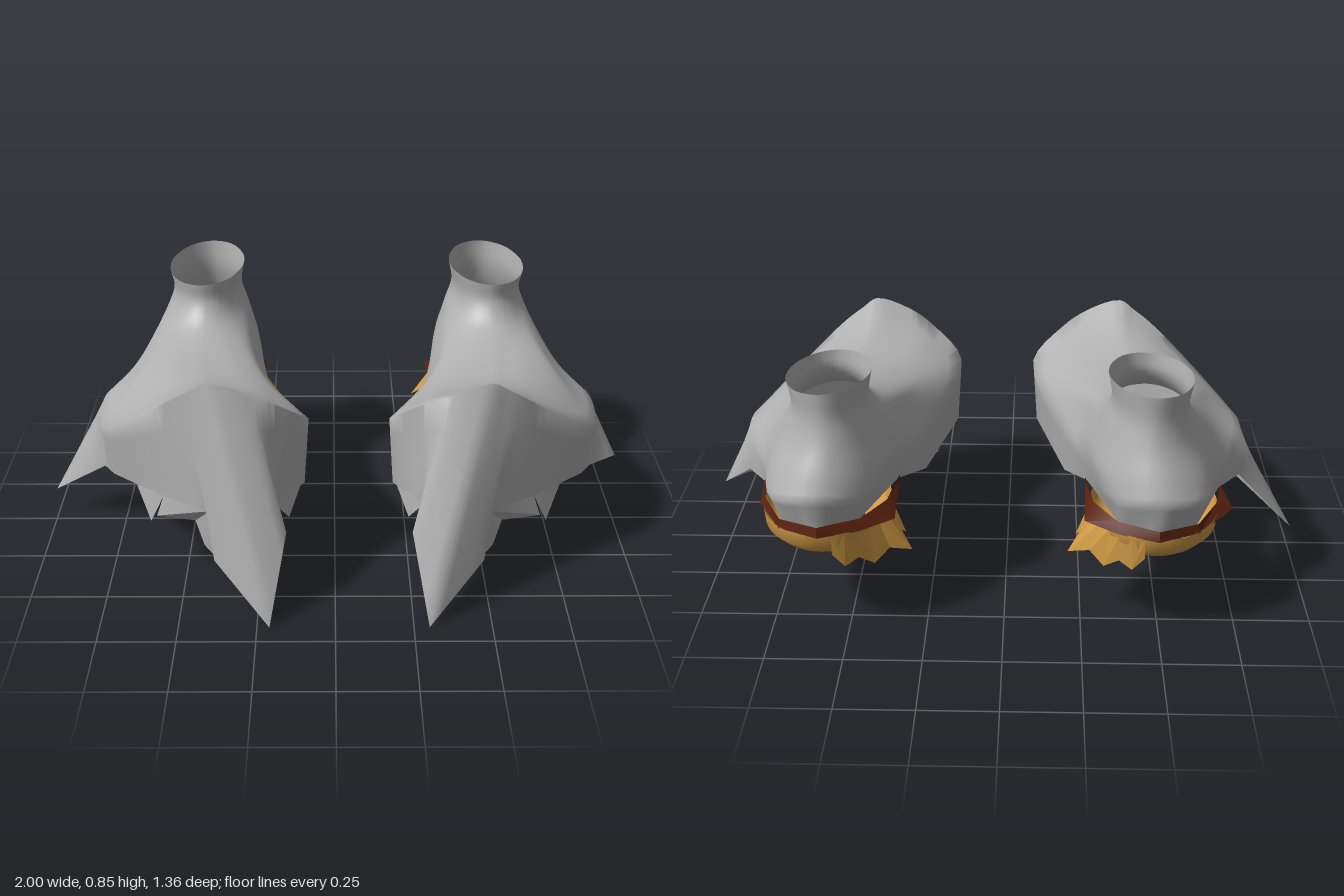
import * as THREE from 'three';
import { toCreasedNormals } from 'three/addons/utils/BufferGeometryUtils.js';

const mat = (name, color) => {
  const m = new THREE.MeshStandardMaterial({ color, side: THREE.DoubleSide });
  m.name = name;
  return m;
};
const V = (x, y, z) => new THREE.Vector3(x, y, z);
const points = (list) => list.map((p) => V(...p));

// Skin through rows of points; columns run anticlockwise seen from above, rows run downward
function skin(rows, crease, mirrored) {
  const n = rows[0].length, pos = [], idx = [];
  for (const row of rows) for (const p of row) pos.push(mirrored ? 0.09 - p.x : p.x, p.y, p.z);
  for (let i = 0; i < rows.length - 1; i++) {
    for (let j = 0; j < n - 1; j++) {
      const a = i * n + j, b = a + 1, c = a + n, d = c + 1;
      if (mirrored) idx.push(a, b, c, b, d, c);
      else idx.push(a, c, b, b, c, d);
    }
  }
  const g = new THREE.BufferGeometry();
  g.setAttribute('position', new THREE.Float32BufferAttribute(pos, 3));
  g.setIndex(idx);
  g.computeVertexNormals();
  return toCreasedNormals(g, crease);
}

// Fan of triangles from a tip to a chain of base points
const fan = (tip, chain, mirrored) => skin([chain.map(() => tip), chain], 0.6, mirrored);

const ellipse = (x, y, z, rx, rz, angles, pitch = 0, roll = 0) => angles.map((deg) => {
  const a = THREE.MathUtils.degToRad(deg);
  return V(x + rx * Math.sin(a), y - pitch * Math.cos(a) + roll * Math.sin(a), z + rz * Math.cos(a));
});
const around = Array.from({ length: 41 }, (_, i) => i * 9);

// Column order: toe, inner side, heel, outer side, back to toe
const columnAngles = [0, 18, 32, 47, 75, 105, 145, 180, 215, 250, 264, 278, 292, 306, 322, 337, 349];
const instepRing = points([
  [-0.41, 0.64, 0.2], [-0.31, 0.625, 0.18], [-0.27, 0.61, 0.13], [-0.24, 0.59, 0.06],
  [-0.26, 0.56, -0.1], [-0.27, 0.55, -0.35], [-0.33, 0.57, -0.57], [-0.47, 0.6, -0.65],
  [-0.61, 0.57, -0.57], [-0.66, 0.55, -0.38], [-0.68, 0.55, -0.25], [-0.69, 0.555, -0.12],
  [-0.68, 0.57, -0.03], [-0.66, 0.59, 0.05], [-0.54, 0.625, 0.15], [-0.48, 0.635, 0.18],
  [-0.44, 0.64, 0.19]]);
const peakRing = points([
  [-0.4, 0.75, 0.45], [-0.28, 0.71, 0.45], [-0.19, 0.66, 0.41], [-0.085, 0.565, 0.32],
  [-0.19, 0.46, 0], [-0.265, 0.47, -0.3], [-0.35, 0.5, -0.61], [-0.48, 0.53, -0.68],
  [-0.62, 0.5, -0.61], [-0.69, 0.47, -0.35], [-0.75, 0.46, -0.19], [-0.79, 0.475, -0.07],
  [-0.8, 0.47, 0.04], [-0.78, 0.46, 0.17], [-0.62, 0.59, 0.34], [-0.51, 0.68, 0.41],
  [-0.45, 0.72, 0.435]]);
const rimRing = (finTip) => points([
  [-0.21, 0, 0.675], [-0.155, 0.28, 0.555], [-0.19, 0.32, 0.455], [-0.1, 0.33, 0.32],
  [-0.2, 0.27, 0.03], [-0.27, 0.38, -0.25], [-0.36, 0.41, -0.58], [-0.48, 0.42, -0.66],
  [-0.6, 0.41, -0.59], [-0.7, 0.385, -0.3], [-0.79, 0.345, -0.13], finTip, [-0.8, 0.25, 0.06],
  [-0.75, 0.285, 0.18], [-0.57, 0.31, 0.37], [-0.41, 0.32, 0.49], [-0.39, 0.16, 0.53]]);

// Smooth from collar to peak, then straight down to an angular rim drawn out into a toe point and a side fin
function shellGeometry(finTip, mirrored) {
  const curves = [
    ellipse(-0.455, 0.832, -0.395, 0.132, 0.197, columnAngles, 0.011, 0.007),
    ellipse(-0.455, 0.755, -0.395, 0.12, 0.195, columnAngles),
    ellipse(-0.455, 0.68, -0.37, 0.145, 0.24, columnAngles),
    instepRing, peakRing].map((r) => new THREE.CatmullRomCurve3(r, true));
  const rim = rimRing(finTip), n = rim.length, steps = n * 4;
  const rows = Array.from({ length: 21 }, () => []);
  for (let j = 0; j <= steps; j++) {
    const k = j % steps, seg = Math.floor(k / 4);
    const col = curves.map((c) => c.getPoint(k / steps));
    const low = rim[seg].clone().lerp(rim[(seg + 1) % n], (k % 4) / 4);
    const fall = new THREE.CatmullRomCurve3(col);
    for (let i = 0; i <= 16; i++) rows[i].push(fall.getPoint(i / 16));
    for (let i = 1; i <= 4; i++) rows[16 + i].push(col[4].clone().lerp(low, i / 4));
  }
  return skin(rows, 1.45, mirrored);
}

// Arched sole from stations: z, inner x, outer x, edge height
const soleStations = [
  [0.42, -0.24, -0.46, 0.335], [0.3, -0.15, -0.6, 0.315], [0.15, -0.18, -0.73, 0.3],
  [-0.05, -0.25, -0.73, 0.31], [-0.19, -0.29, -0.68, 0.355]];
const soleRows = soleStations.map(([z, a, b, y]) => Array.from({ length: 9 }, (_, i) =>
  V(a + (b - a) * i / 8, y + 0.03 * Math.sin(Math.PI * i / 8), z)));

export function createModel() {
  const shell = mat('grey shell', 0xb0b0b0);
  const trim = mat('dark brown trim', 0x5a210f);
  const under = mat('brown sole', 0x9e6e52);
  const heel = mat('ochre heel', 0xd09a45);
  const pad = mat('charcoal pad', 0x3c3c3c);
  const model = new THREE.Group();

  for (const left of [false, true]) {
    const boot = new THREE.Group();
    boot.name = left ? 'leftBoot' : 'rightBoot';
    model.add(boot);
    const add = (name, geometry, material) => {
      const mesh = new THREE.Mesh(geometry, material);
      mesh.name = name;
      boot.add(mesh);
    };

    add('shell', shellGeometry(left ? [-0.905, 0.24, -0.03] : [-1, 0.095, -0.05], left), shell);

    // Small spikes and the folded flap behind the toe notch
    add('underSpike', fan(V(-0.61, 0.2, 0.35), points([
      [-0.56, 0.31, 0.37], [-0.6, 0.31, 0.34], [-0.66, 0.3, 0.28]]), left), shell);
    add('innerSpike', fan(V(-0.15, 0.25, 0.41), points([
      [-0.19, 0.32, 0.455], [-0.14, 0.34, 0.38], [-0.11, 0.33, 0.32]]), left), shell);
    add('toeFlap', fan(V(-0.4, 0.32, 0.49), points([
      [-0.3, 0.07, 0.59], [-0.37, 0.1, 0.46], [-0.43, 0.15, 0.42], [-0.46, 0.22, 0.38],
      [-0.59, 0.22, 0.35], [-0.56, 0.31, 0.355]]), left), shell);

    // Sole and its piping
    add('sole', skin(soleRows, 0.8, left), under);
    for (const side of [0, 8]) {
      const edge = soleRows.map((r) => (left ? V(0.09 - r[side].x, r[side].y, r[side].z) : r[side]));
      add('solePiping', new THREE.TubeGeometry(new THREE.CatmullRomCurve3(edge), 24, 0.01, 6), trim);
    }

    // Trim band flaring out around the heel
    const bandTop = points([
      [-0.25, 0.34, -0.08], [-0.265, 0.39, -0.25], [-0.285, 0.41, -0.45], [-0.355, 0.42, -0.59],
      [-0.48, 0.43, -0.67], [-0.605, 0.42, -0.6], [-0.675, 0.41, -0.45], [-0.705, 0.395, -0.3],
      [-0.75, 0.35, -0.1]]);
    const bandLow = points([
      [-0.26, 0.31, -0.08], [-0.265, 0.37, -0.25], [-0.255, 0.38, -0.52], [-0.36, 0.39, -0.62],
      [-0.48, 0.395, -0.675], [-0.61, 0.39, -0.605], [left ? -0.7 : -0.735, 0.375, -0.42],
      [-0.7, 0.365, -0.3], [-0.74, 0.32, -0.1]]);
    add('heelBand', skin([bandTop, bandLow], 0.6, left), trim);

    // Heel bowl with a dark pad in its floor, cut straight at the front
    const padRing = ellipse(-0.47, 0.312, -0.43, 0.11, 0.15, around);
    for (const p of padRing) p.z = Math.min(p.z, -0.32);
    add('heelBowl', skin([
      ellipse(-0.48, 0.395, -0.41, 0.205, 0.25, around),
      ellipse(-0.48, 0.35, -0.42, 0.2, 0.235, around),
      ellipse(-0.475, 0.315, -0.43, 0.17, 0.19, around),
      padRing], 0.9, left), heel);
    add('heelPad', skin([padRing, padRing.map(() => V(-0.47, 0.312, -0.43))], 0.5, left), pad);
    const seam = new THREE.BoxGeometry(0.17, 0.008, 0.012);
    seam.translate(left ? 0.56 : -0.47, 0.317, -0.314);
    add('padSeam', seam, trim);

    // Ragged ochre skirt flaring on the inner side
    const skirtTop = [], skirtLow = [];
    const drops = [0.33, 0.31, 0.265, 0.3, 0.255, 0.285, 0.25, 0.29, 0.27, 0.32];
    const reach = [0.01, 0.03, 0.06, 0.05, 0.1, 0.05, 0.03, 0.01, 0, 0];
    drops.forEach((y, i) => {
      const a = THREE.MathUtils.degToRad(60 + i * 12);
      skirtTop.push(V(-0.48 + 0.2 * Math.sin(a), 0.385, -0.41 + 0.25 * Math.cos(a)));
      skirtLow.push(V(-0.48 + (0.19 + reach[i]) * Math.sin(a), y, -0.43 + 0.22 * Math.cos(a)));
    });
    add('raggedSkirt', skin([skirtTop, skirtLow], 0.1, left), heel);
  }
  return model;
}
